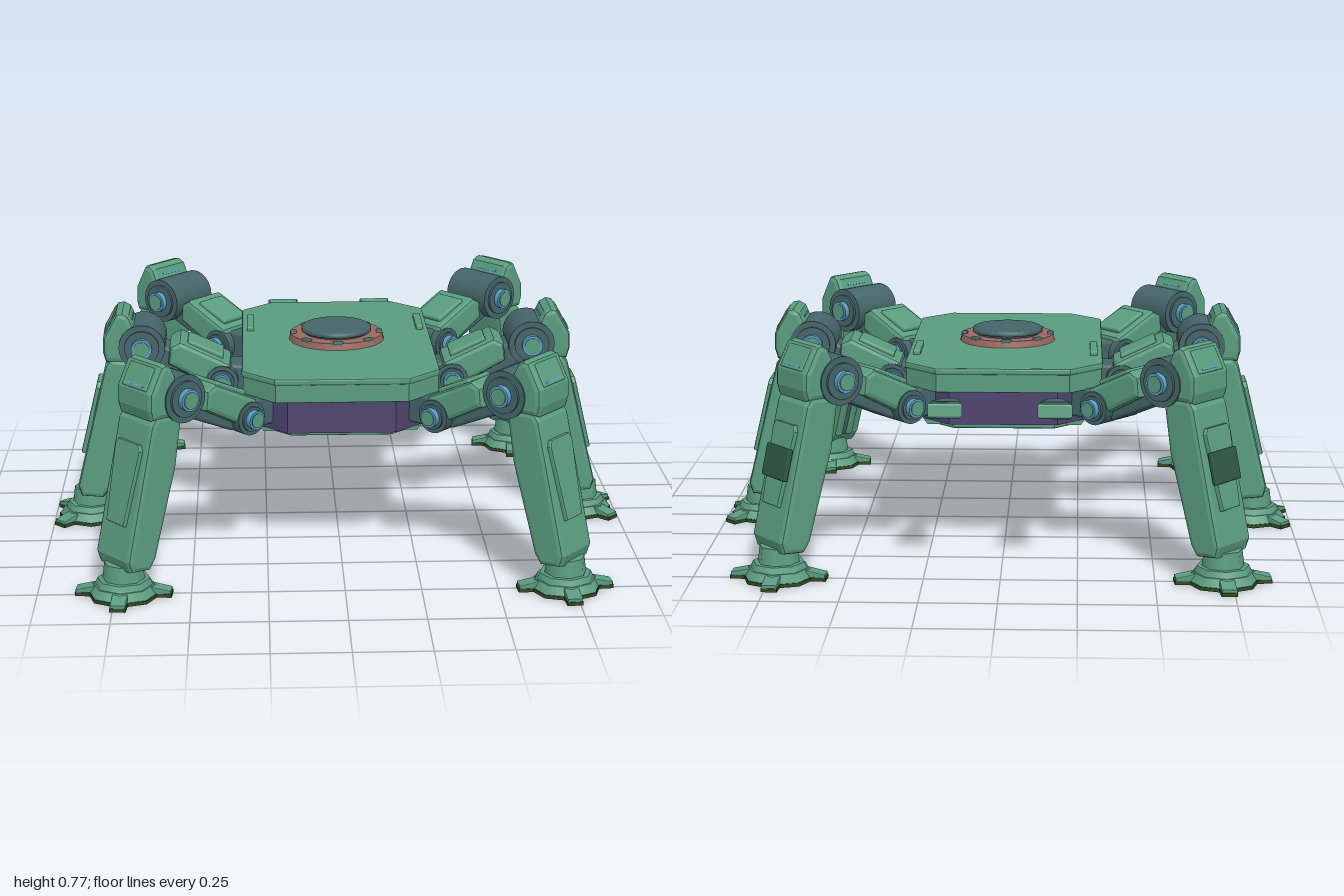
import * as THREE from 'three';
import { RoundedBoxGeometry } from 'three/addons/geometries/RoundedBoxGeometry.js';

const mat = (name, color) => {
  const m = new THREE.MeshStandardMaterial({ color });
  m.name = name;
  return m;
};

export function createModel() {
  const green = mat('armour green', 0x5a9c7f);
  const dark = mat('dark green', 0x2f5740);
  const teal = mat('joint slate', 0x456568);
  const blue = mat('pin blue', 0x5a9fc8);
  const purple = mat('core purple', 0x4e4470);
  const red = mat('ring red', 0x9b6861);
  const olive = mat('sole olive', 0x314a22);

  const add = (parent, name, geo, material, x = 0, y = 0, z = 0) => {
    const m = new THREE.Mesh(geo, material);
    m.name = name;
    m.position.set(x, y, z);
    parent.add(m);
    return m;
  };
  const rbox = (w, h, d, r = 0.012) => new RoundedBoxGeometry(w, h, d, 2, r);
  // Side outline in x/y, extruded across z with chamfered edges
  const slab = (pts, width, bevel) => {
    const shape = new THREE.Shape(pts.map(p => new THREE.Vector2(p[0], p[1])));
    const g = new THREE.ExtrudeGeometry(shape, {
      depth: width - 2 * bevel, bevelEnabled: bevel > 0, bevelSize: bevel,
      bevelThickness: bevel, bevelOffset: -bevel, bevelSegments: 2,
    });
    return g.translate(0, 0, -width / 2 + bevel);
  };
  // Flat octagon plate lying between y0 and y1
  const octagon = (hx, hz, c, y0, y1, bevel) => slab([
    [hx, -hz + c], [hx, hz - c], [hx - c, hz], [-hx + c, hz],
    [-hx, hz - c], [-hx, -hz + c], [-hx + c, -hz], [hx - c, -hz],
  ], y1 - y0, bevel).rotateX(-Math.PI / 2).translate(0, (y0 + y1) / 2, 0);
  const axle = (r, len, seg = 24) => new THREE.CylinderGeometry(r, r, len, seg).rotateX(Math.PI / 2);

  const model = new THREE.Group();
  model.name = 'walker';

  // Hull: deck, core, belly plate
  const hull = new THREE.Group();
  hull.name = 'hull';
  model.add(hull);
  add(hull, 'deck', octagon(0.33, 0.51, 0.108, 0.626, 0.648, 0.006), green);
  add(hull, 'core', octagon(0.28, 0.47, 0.1, 0.45, 0.628, 0), purple);
  add(hull, 'bellyPlate', octagon(0.26, 0.42, 0.09, 0.425, 0.462, 0.006), green);
  for (const s of [-1, 1]) {
    const half = new THREE.Group();
    half.name = 'hullEdge';
    half.rotation.y = s > 0 ? 0 : Math.PI;
    // Deeper bow and stern edge following the corner cuts
    add(half, 'deckLip', slab([[-0.22, -0.507], [0.22, -0.507], [0.326, -0.4], [-0.326, -0.4]],
      0.064, 0.004).rotateX(-Math.PI / 2), green, 0, 0.598, 0);
    // Undercut deck side and raised belly side
    add(half, 'deckUndercut', slab([[0.25, 0.6], [0.285, 0.598], [0.328, 0.636], [0.25, 0.636]], 0.81, 0), green);
    add(half, 'bellySide', slab([[0.2, 0.43], [0.258, 0.43], [0.292, 0.478], [0.285, 0.498], [0.2, 0.498]],
      0.76, 0), green);
    hull.add(half);
    add(hull, 'deckRail', rbox(0.026, 0.022, 0.18, 0.006), green, s * 0.3, 0.652, -0.19);
  }

  // Hatch: red ring, bolts, slate lid
  const hatch = new THREE.Group();
  hatch.name = 'hatch';
  model.add(hatch);
  add(hatch, 'ring', new THREE.CylinderGeometry(0.16, 0.166, 0.025, 40), red, 0, 0.658, 0);
  add(hatch, 'lid', new THREE.LatheGeometry([
    [0.11, 0.66], [0.11, 0.675], [0.122, 0.678], [0.122, 0.69], [0.112, 0.696], [0, 0.698],
  ].map(p => new THREE.Vector2(p[0], p[1])), 40), teal);
  for (let i = 0; i < 8; i++) {
    const a = i * Math.PI / 4;
    const bolt = add(hatch, 'bolt', rbox(0.022, 0.016, 0.036, 0.005), teal,
      Math.cos(a) * 0.15, 0.668, Math.sin(a) * 0.15);
    bolt.rotation.y = -a;
  }

  // Rear fins: tapered, rising backwards, slate upper face
  const wedge = (h, zNear, zFar, wNear, wFar, bevel) => slab([
    [-wFar, -zFar], [wFar, -zFar], [wNear, -zNear], [-wNear, -zNear],
  ], h, bevel).rotateX(-Math.PI / 2).rotateZ(Math.PI);
  for (const s of [-1, 1]) {
    const fin = new THREE.Group();
    fin.name = 'rearFin';
    fin.position.set(s * 0.175, 0.525, -0.53);
    fin.rotation.x = 0.17;
    add(fin, 'finBody', wedge(0.05, 0, -0.255, 0.022, 0.055, 0.008), green);
    add(fin, 'finFace', wedge(0.006, -0.004, -0.205, 0.021, 0.048, 0), teal, 0, 0.025, 0);
    model.add(fin);
  }

  // Leg: local x points outward from the hip, hip axle at the origin
  const KNEE = [0.275, 0.645], HIP = 0.52, FOOT = 0.468;
  function makeLeg(isRear) {
    const leg = new THREE.Group();
    leg.name = 'leg';

    // Hinge: slate barrel, blue pin with green end caps
    const hinge = (name, x, y, r, pinR) => {
      add(leg, name + 'Barrel', axle(r, 0.195, 28), teal, x, y, 0);
      add(leg, name + 'Collar', axle(r * 0.75, 0.212), teal, x, y, 0);
      add(leg, name + 'Pin', axle(pinR, 0.25, 16), blue, x, y, 0);
      add(leg, name + 'PinCap', axle(pinR * 0.78, 0.258, 16), green, x, y, 0);
    };
    hinge('hip', 0, HIP, 0.056, 0.032);
    hinge('knee', KNEE[0], KNEE[1], 0.08, 0.036);
    add(leg, 'hipMount', rbox(0.14, 0.1, 0.13), teal, -0.06, HIP, 0);

    // Upper leg, sloping up to the knee
    const upper = new THREE.Group();
    upper.name = 'upperLeg';
    upper.position.y = HIP;
    upper.rotation.z = Math.atan2(KNEE[1] - HIP, KNEE[0]);
    add(upper, 'upperCore', rbox(0.26, 0.085, 0.12), teal, 0.15, -0.015, 0);
    add(upper, 'upperShell', slab([[-0.03, 0.025], [0.0, 0.068], [0.19, 0.072], [0.215, 0.04],
      [0.195, -0.02], [0.05, -0.03]], 0.185, 0.016), green);
    add(upper, 'upperPanel', rbox(0.135, 0.022, 0.125, 0.008), green, 0.095, 0.072, 0);
    leg.add(upper);

    // Knee cap with sloped faces, each carrying a fine blue strip
    add(leg, 'kneeCore', rbox(0.1, 0.16, 0.12), teal, 0.345, 0.61, 0);
    add(leg, 'kneeCap', slab([[0.295, 0.62], [0.298, 0.71], [0.318, 0.755], [0.34, 0.768], [0.362, 0.764],
      [0.408, 0.68], [0.41, 0.625], [0.4, 0.59], [0.32, 0.59]], 0.185, 0.018), green);
    const brow = new THREE.Group();
    brow.name = 'kneeBrow';
    brow.position.set(0.384, 0.72, 0);
    brow.rotation.z = -Math.atan2(0.084, 0.046);
    add(brow, 'browPlate', rbox(0.08, 0.012, 0.125, 0.004), green);
    add(brow, 'browStrip', new THREE.BoxGeometry(0.005, 0.004, 0.09), blue, 0.028, 0.006, 0);
    leg.add(brow);
    const strip = add(leg, 'capStrip', new THREE.BoxGeometry(0.005, 0.006, 0.09), blue, 0.309, 0.733, 0);
    strip.rotation.z = 1.1;

    // Shin
    add(leg, 'shinShell', slab([[0.285, 0.57], [0.31, 0.597], [0.385, 0.602], [0.405, 0.575],
      [0.512, 0.14], [0.5, 0.102], [0.425, 0.095], [0.4, 0.13], [0.31, 0.42]], 0.182, 0.016), green);
    // Tapered plate on the outer face, tilted with the shin
    const face = new THREE.Group();
    face.name = 'shinFace';
    face.position.set(0.456, 0.375, 0);
    face.rotation.z = Math.atan2(0.107, 0.435);
    add(face, 'shinPanel', slab([[-0.045, -0.13], [0.045, -0.13], [0.064, 0.12], [0.052, 0.14],
      [-0.052, 0.14], [-0.064, 0.12]], 0.026, 0.005).rotateY(Math.PI / 2), green);
    if (isRear) add(face, 'shinHatch', rbox(0.016, 0.105, 0.135, 0.004), dark, 0.012, 0.01, 0);
    leg.add(face);
    // Inner channel between two rails
    const inner = new THREE.Group();
    inner.name = 'innerChannel';
    inner.position.set(0.354, 0.275, 0);
    inner.rotation.z = Math.atan2(0.09, 0.29);
    add(inner, 'channelStrip', rbox(0.012, 0.3, 0.026, 0.004), teal);
    for (const s of [-1, 1]) add(inner, 'channelRail', rbox(0.026, 0.3, 0.026, 0.004), green, 0, 0, s * 0.026);
    leg.add(inner);

    // Foot: ankle, low pad, four splayed toes, dark sole
    const foot = new THREE.Group();
    foot.name = 'foot';
    foot.position.x = FOOT;
    add(foot, 'ankle', new THREE.CylinderGeometry(0.062, 0.072, 0.075, 8), green, 0, 0.075, 0);
    add(foot, 'ankleCollar', new THREE.CylinderGeometry(0.085, 0.095, 0.022, 8), green, 0, 0.047, 0);
    add(foot, 'footPad', new THREE.CylinderGeometry(0.1, 0.118, 0.028, 8), green, 0, 0.024, 0);
    add(foot, 'sole', new THREE.CylinderGeometry(0.12, 0.12, 0.012, 8), olive, 0, 0.006, 0);
    for (let i = 0; i < 4; i++) {
      const toe = new THREE.Group();
      toe.name = 'toe';
      toe.rotation.y = Math.PI / 4 + i * Math.PI / 2;
      add(toe, 'toeTop', slab([[0.06, 0.01], [0.155, 0.01], [0.155, 0.022], [0.09, 0.036], [0.06, 0.036]], 0.05, 0.003), green);
      add(toe, 'toeSole', new THREE.BoxGeometry(0.097, 0.012, 0.052), olive, 0.109, 0.006, 0);
      foot.add(toe);
    }
    leg.add(foot);
    return leg;
  }

  // Six legs: hip x, hip z, heading in degrees on the left side
  for (const [x, z, deg] of [[0.36, 0.45, 40], [0.4, 0, 0], [0.36, -0.45, -40]]) {
    for (const s of [1, -1]) {
      const leg = makeLeg(z < 0);
      const a = THREE.MathUtils.degToRad(s > 0 ? deg : 180 - deg);
      leg.position.set(s * x, 0, z);
      leg.rotation.y = -a;
      model.add(leg);
    }
  }
  return model;
}
